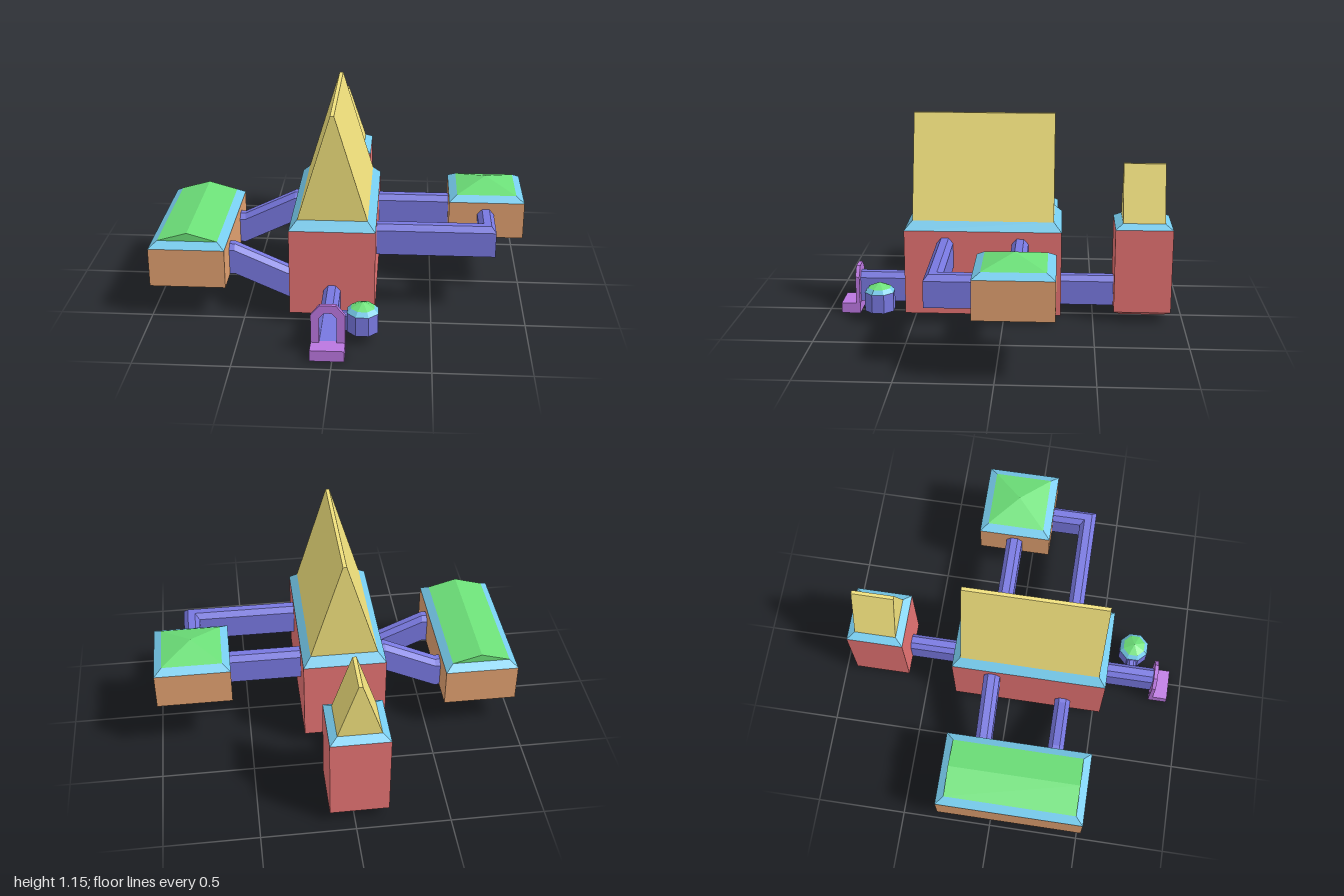
import * as THREE from 'three';

const COLORS = {
  wall: 0xe57373, brick: 0xe0a070, trim: 0x77ccee, gold: 0xf0e07c,
  green: 0x6cdf78, blue: 0x7878e0, purple: 0xbb77e0,
};

function mat(color) {
  return new THREE.MeshStandardMaterial({ color: COLORS[color], flatShading: true, side: THREE.DoubleSide });
}

function add(parent, name, geometry, color) {
  const mesh = new THREE.Mesh(geometry, mat(color));
  mesh.name = name;
  parent.add(mesh);
  return mesh;
}

// Skin a list of rings, each counter-clockwise seen from the far end
function loft(rings, capStart = false, capEnd = false) {
  const pos = [];
  const tri = (a, b, c) => pos.push(...a, ...b, ...c);
  const n = rings[0].length;
  for (let k = 0; k + 1 < rings.length; k++) {
    for (let i = 0; i < n; i++) {
      const j = (i + 1) % n, p = rings[k], q = rings[k + 1];
      tri(p[i], p[j], q[j]);
      tri(p[i], q[j], q[i]);
    }
  }
  const first = rings[0], last = rings[rings.length - 1];
  for (let i = 1; i + 1 < n; i++) {
    if (capStart) tri(first[0], first[i + 1], first[i]);
    if (capEnd) tri(last[0], last[i], last[i + 1]);
  }
  const g = new THREE.BufferGeometry();
  g.setAttribute('position', new THREE.Float32BufferAttribute(pos, 3));
  g.computeVertexNormals();
  return g;
}

// Rectangle ring at height y, centred on (cx, cz) with half sizes hx, hz
function rect(cx, cz, hx, hz, y) {
  return [[-1, 1], [1, 1], [1, -1], [-1, -1]].map(([u, v]) => [cx + u * hx, y, cz + v * hz]);
}

// Block with a sloping trim band and a roof that closes to a ridge or point
function building(root, o) {
  const g = new THREE.Group();
  g.name = o.name;
  const ring = (inset, y) => rect(o.cx, o.cz, o.hx - inset, o.hz - inset, y);
  const body = [ring(0, o.y0), ring(0, o.y1)];
  if (o.openBase) body.unshift(ring(0.04, o.y0 - 0.025));
  add(g, 'walls', loft(body, !o.openBase), o.wall);
  add(g, 'trim', loft([ring(0, o.y1), ring(o.inset, o.y2)], false, true), 'trim');
  const ridge = rect(o.cx, o.cz, o.ridgeX, o.ridgeZ, o.y3);
  add(g, 'roof', loft([ring(o.inset, o.y2), ridge], false, o.ridgeX > 0), o.roof);
  root.add(g);
}

// Covered corridor: chamfered section swept along a path of floor points
const SECTION = [[-0.045, 0], [0.045, 0], [0.045, 0.138], [0.02, 0.167], [-0.02, 0.167], [-0.045, 0.138]];
function corridor(root, name, path, scale = 1) {
  const sides = path.slice(1).map((p, i) => {
    const dx = p[0] - path[i][0], dz = p[2] - path[i][2], l = Math.hypot(dx, dz);
    return [dz / l, -dx / l];
  });
  const rings = path.map((p, i) => {
    const a = sides[Math.max(i - 1, 0)], b = sides[Math.min(i, sides.length - 1)];
    const k = 1 / (1 + a[0] * b[0] + a[1] * b[1]); // mitre at bends
    const sx = (a[0] + b[0]) * k, sz = (a[1] + b[1]) * k;
    return SECTION.map(([u, v]) => [p[0] + sx * u * scale, p[1] + v * scale, p[2] + sz * u * scale]);
  });
  add(root, name, loft(rings), 'blue');
}

export function createModel() {
  const root = new THREE.Group();
  root.name = 'compound';
  const cx = -0.025;

  // Buildings
  building(root, {
    name: 'mainHall', cx, cz: 0.11, hx: 0.226, hz: 0.43, y0: 0.06, y1: 0.535, y2: 0.582, y3: 1.15,
    inset: 0.043, ridgeX: 0.01, ridgeZ: 0.387, wall: 'wall', roof: 'gold',
  });
  building(root, {
    name: 'backTower', cx, cz: -0.772, hx: 0.157, hz: 0.158, y0: 0.06, y1: 0.535, y2: 0.562, y3: 0.875,
    inset: 0.042, ridgeX: 0.01, ridgeZ: 0.116, wall: 'wall', roof: 'gold', openBase: true,
  });
  building(root, {
    name: 'longHall', cx: -0.797, cz: 0.112, hx: 0.203, hz: 0.407, y0: 0.185, y1: 0.4, y2: 0.432, y3: 0.478,
    inset: 0.043, ridgeX: 0, ridgeZ: 0.364, wall: 'brick', roof: 'green',
  });
  building(root, {
    name: 'squarePavilion', cx: 0.795, cz: -0.093, hx: 0.205, hz: 0.203, y0: 0.33, y1: 0.535, y2: 0.563, y3: 0.616,
    inset: 0.043, ridgeX: 0, ridgeZ: 0, wall: 'brick', roof: 'green',
  });

  // Corridors joining the buildings
  const zBack = -0.095, zFront = 0.315;
  corridor(root, 'frontCorridor', [[cx, 0.06, 0.54], [cx, 0.06, 0.825]]);
  corridor(root, 'backCorridor', [[cx, 0.06, -0.615], [cx, 0.06, -0.32]]);
  corridor(root, 'pavilionCorridor', [[0.2, 0.33, zBack], [0.59, 0.33, zBack]]);
  corridor(root, 'bentCorridor', [[0.2, 0.33, zFront], [0.79, 0.33, zFront], [0.79, 0.33, 0.11]]);
  for (const [name, z, y] of [['risingCorridor', zBack, 0.33], ['fallingCorridor', zFront, 0.06]]) {
    corridor(root, name, [[-0.595, 0.19, z], [-0.565, 0.19, z], [-0.275, y, z], [-0.25, y, z]]);
  }
  corridor(root, 'turretCorridor', [[0.02, 0.06, 0.688], [0.07, 0.06, 0.688]], 0.6);

  // Small eight-sided turret
  const turret = new THREE.Group();
  turret.name = 'turret';
  turret.position.set(0.145, 0, 0.69);
  const k = 1 / Math.cos(Math.PI / 8);
  const tiers = [
    ['turretWalls', 0.08, 0.08, 0.06, 0.167, 'blue'],
    ['turretTrim', 0.08, 0.06, 0.167, 0.19, 'trim'],
    ['turretRoof', 0.06, 0, 0.19, 0.218, 'green'],
  ];
  for (const [name, r0, r1, y0, y1, color] of tiers) {
    const g = new THREE.CylinderGeometry(r1 * k, r0 * k, y1 - y0, 8, 1, color !== 'blue', Math.PI / 8);
    add(turret, name, g, color).position.y = (y0 + y1) / 2;
  }
  root.add(turret);

  // Entrance arch and its hollow step
  const gate = new THREE.Group();
  gate.name = 'entrance';
  const arch = new THREE.Shape([
    [-0.088, 0.06], [-0.045, 0.06], [-0.045, 0.198], [-0.02, 0.227], [0.02, 0.227], [0.045, 0.198],
    [0.045, 0.06], [0.088, 0.06], [0.088, 0.215], [0.042, 0.27], [-0.042, 0.27], [-0.088, 0.215],
  ].map(([x, y]) => new THREE.Vector2(x, y)));
  const archGeo = new THREE.ExtrudeGeometry(arch, { depth: 0.022, bevelEnabled: false });
  add(gate, 'arch', archGeo, 'purple').position.set(cx, 0, 0.82);
  const step = [0, 0.06].map((y) => rect(cx, 0.872, 0.088, 0.053, y));
  add(gate, 'step', loft(step, false, true), 'purple');
  root.add(gate);

  return root;
}
